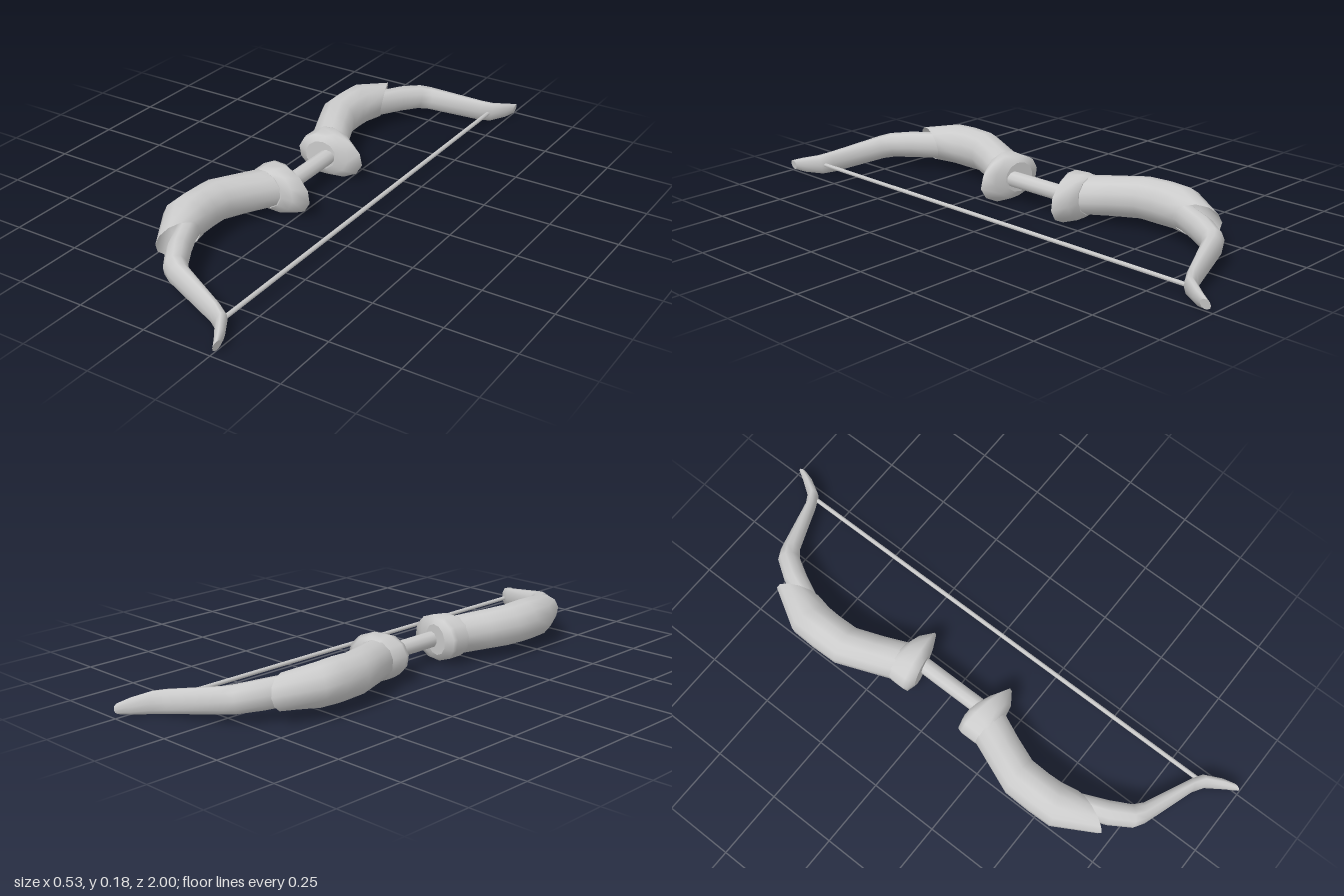
import * as THREE from 'three';

const TILT = 0.17;                          // the bow lies slightly tilted
const planeY = (x) => 0.08 - TILT * x;
const material = new THREE.MeshStandardMaterial({ color: 0xcccccc, side: THREE.DoubleSide });

// Loft through oval rings. Each ring: [outer x, outer z, inner x, inner z, half height].
// side = 1 or -1 mirrors the loft along z.
function loft(rings, sides, side, capStart, capEnd) {
  const pos = [], index = [];
  const tri = (a, b, c) => (side > 0 ? index.push(a, b, c) : index.push(a, c, b));
  const addRing = ([ox, oz, ix, iz, h]) => {
    const start = pos.length / 3;
    for (let j = 0; j < sides; j++) {
      const t = (j / sides) * Math.PI * 2;
      const c = Math.cos(t), s = Math.sin(t);
      const x = (ox + ix) / 2 + (c * (ix - ox)) / 2;
      const z = (oz + iz) / 2 + (c * (iz - oz)) / 2;
      pos.push(x + s * h * TILT, planeY(x) + s * h, z * side);
    }
    return start;
  };
  const starts = rings.map(addRing);
  for (let r = 0; r < rings.length - 1; r++) {
    for (let j = 0; j < sides; j++) {
      const k = (j + 1) % sides, a = starts[r], b = starts[r + 1];
      tri(a + j, a + k, b + k);
      tri(a + j, b + k, b + j);
    }
  }
  const cap = (ring, flip) => {
    const start = addRing(ring);
    for (let j = 1; j < sides - 1; j++) {
      if (flip) tri(start, start + j + 1, start + j);
      else tri(start, start + j, start + j + 1);
    }
  };
  if (capStart) cap(rings[0], true);
  if (capEnd) cap(rings[rings.length - 1], false);
  const g = new THREE.BufferGeometry();
  g.setAttribute('position', new THREE.Float32BufferAttribute(pos, 3));
  g.setIndex(index);
  g.computeVertexNormals();
  return g;
}

// Slanted collar beside the grip
const collarRings = [
  [-0.15, 0.105, -0.04, 0.13, 0.055],
  [-0.185, 0.115, 0.0, 0.145, 0.075],
  [-0.19, 0.13, 0.048, 0.17, 0.083],
  [-0.187, 0.18, 0.0, 0.203, 0.08],
  [-0.185, 0.205, -0.04, 0.213, 0.068],
];

// Thick sleeve ending in a long slanted, open mouth
const sleeveRings = [
  [-0.185, 0.19, -0.04, 0.205, 0.068],
  [-0.222, 0.28, -0.085, 0.3, 0.07],
  [-0.263, 0.38, -0.122, 0.39, 0.073],
  [-0.265, 0.48, -0.125, 0.46, 0.076],
  [-0.263, 0.57, -0.122, 0.51, 0.073],
  [-0.175, 0.72, -0.112, 0.565, 0.06],
];

// Slim limb with a flicked-out tip
const limbRings = [
  [-0.2, 0.5, -0.14, 0.49, 0.05],
  [-0.175, 0.62, -0.115, 0.575, 0.051],
  [-0.135, 0.72, -0.07, 0.67, 0.05],
  [-0.085, 0.795, -0.03, 0.74, 0.047],
  [-0.05, 0.815, 0.0, 0.765, 0.045],
  [0.155, 0.877, 0.175, 0.843, 0.041],
  [0.195, 0.902, 0.215, 0.865, 0.038],
  [0.235, 0.96, 0.25, 0.925, 0.028],
  [0.258, 0.998, 0.262, 0.96, 0.018],
];

function rod(name, x, radius, length, sides) {
  const m = new THREE.Mesh(new THREE.CylinderGeometry(radius, radius, length, sides), material);
  m.name = name;
  m.rotation.x = Math.PI / 2;
  m.position.set(x, planeY(x), 0);
  return m;
}

export function createModel() {
  const bow = new THREE.Group();
  bow.name = 'bow';

  // Both halves of the bow
  for (const side of [1, -1]) {
    const half = new THREE.Group();
    half.name = side > 0 ? 'frontHalf' : 'backHalf';
    const parts = {
      collar: loft(collarRings, 12, side, true, true),
      sleeve: loft(sleeveRings, 12, side, false, false),
      limb: loft(limbRings, 10, side, true, true),
    };
    for (const [name, geometry] of Object.entries(parts)) {
      const mesh = new THREE.Mesh(geometry, material);
      mesh.name = name;
      half.add(mesh);
    }
    bow.add(half);
  }

  // Grip and bowstring
  bow.add(rod('grip', -0.073, 0.029, 0.3, 10));
  bow.add(rod('bowstring', 0.2, 0.008, 1.75, 6));
  return bow;
}
